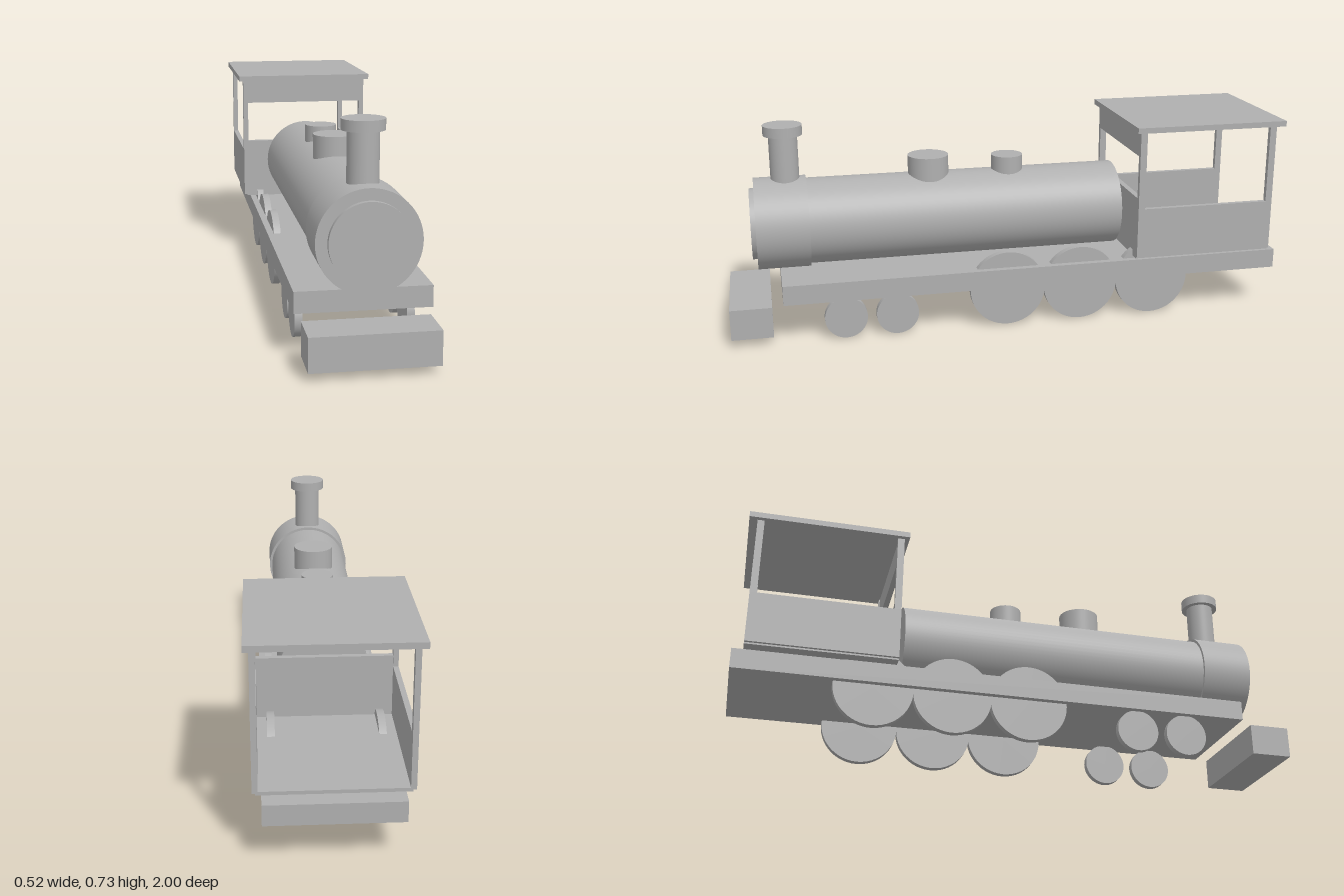
import * as THREE from 'three';

export function createModel() {
  const model = new THREE.Group();
  model.name = 'steamLocomotive';
  const grey = new THREE.MeshStandardMaterial({ color: 0xb0b0b0 });
  grey.name = 'plain grey';

  const add = (name, geometry, parent = model) => {
    const mesh = new THREE.Mesh(geometry, grey);
    mesh.name = name;
    parent.add(mesh);
    return mesh;
  };
  // Box given by its extents on each axis
  const box = (name, [x0, x1], [y0, y1], [z0, z1], parent) =>
    add(name, new THREE.BoxGeometry(x1 - x0, y1 - y0, z1 - z0)
      .translate((x0 + x1) / 2, (y0 + y1) / 2, (z0 + z1) / 2), parent);
  // Cylinder lying along z at the boiler height
  const barrel = (name, r, z0, z1) =>
    add(name, new THREE.CylinderGeometry(r, r, z1 - z0, 64)
      .rotateX(Math.PI / 2).translate(0, 0.385, (z0 + z1) / 2));
  // Upright cylinder on the centre line
  const upright = (name, r, y0, y1, z) =>
    add(name, new THREE.CylinderGeometry(r, r, y1 - y0, 48).translate(0, (y0 + y1) / 2, z));

  // Chassis
  box('frame', [-0.217, 0.217], [0.15, 0.22], [-0.998, 0.817]);
  box('bufferBeam', [-0.2, 0.2], [0.03, 0.14], [0.855, 1]);

  // Boiler
  barrel('boiler', 0.153, -0.417, 0.72);
  barrel('smokebox', 0.163, 0.71, 0.893);
  barrel('smokeboxDoor', 0.126, 0.88, 0.91);

  // Chimney and domes
  upright('chimney', 0.05, 0.5, 0.71, 0.782);
  upright('chimneyCap', 0.068, 0.703, 0.738, 0.782);
  upright('largeDome', 0.073, 0.48, 0.604, 0.273);
  upright('smallDome', 0.057, 0.48, 0.59, -0.017);

  // Wheels: three driving pairs and two small leading pairs
  const wheels = new THREE.Group();
  wheels.name = 'wheels';
  model.add(wheels);
  const wheelSets = [['drivingWheel', 0.137, [0.02, -0.25, -0.523]], ['leadingWheel', 0.075, [0.602, 0.42]]];
  for (const [name, r, places] of wheelSets) {
    for (const z of places) {
      for (const side of [-1, 1]) {
        add(name, new THREE.CylinderGeometry(r, r, 0.025, 48)
          .rotateZ(Math.PI / 2).translate(side * 0.182, r + 0.003, z), wheels);
      }
    }
  }

  // Cab, open at the back, with window openings at the front and sides
  const cab = new THREE.Group();
  cab.name = 'cab';
  model.add(cab);
  const front = -0.447, back = -0.96;
  box('cabFloor', [-0.235, 0.235], [0.232, 0.244], [back, front], cab);
  box('cabFrontWall', [-0.23, 0.23], [0.238, 0.458], [front - 0.02, front], cab);
  box('cabFrontHeader', [-0.23, 0.23], [0.613, 0.703], [front - 0.02, front], cab);
  for (const side of [-1, 1]) {
    const xs = side > 0 ? [0.227, 0.245] : [-0.245, -0.227];
    box('cabSideWall', xs, [0.238, 0.42], [back, front], cab);
    box('cabFrontPost', xs, [0.42, 0.703], [front - 0.024, front], cab);
    box('cabBackPost', xs, [0.42, 0.703], [back, back + 0.024], cab);
  }
  box('cabRoof', [-0.262, 0.262], [0.702, 0.722], [-0.988, -0.43], cab);

  return model;
}
